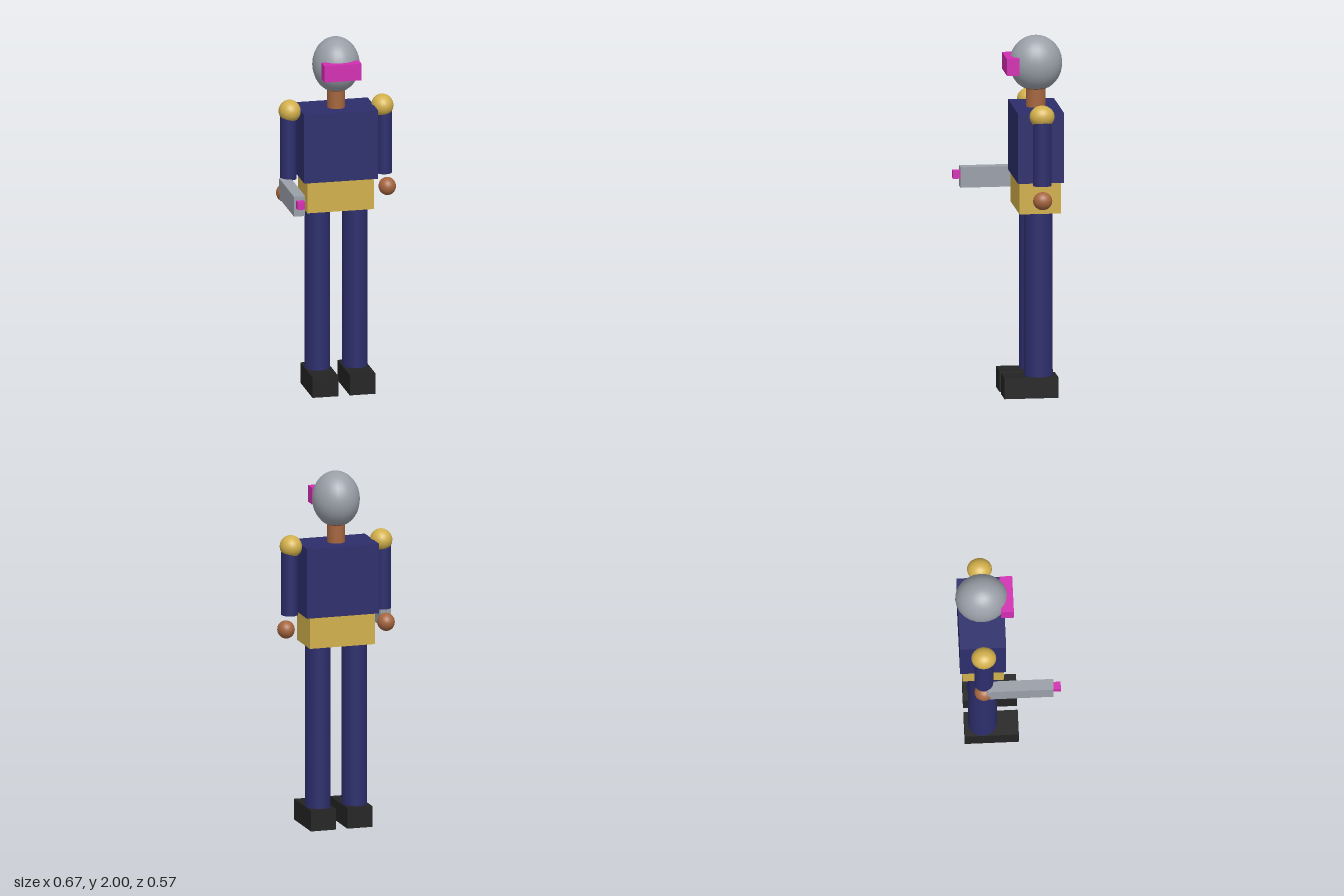
import * as THREE from 'three';

export function createModel() {
  const root = new THREE.Group();
  const mat = (name, color) => {
    const m = new THREE.MeshStandardMaterial({ color });
    m.name = name;
    return m;
  };
  const navy = mat('navy cloth', 0x2d2e6c);
  const gold = mat('gold', 0xd2b04c);
  const skin = mat('skin', 0xa5663f);
  const grey = mat('grey metal', 0x9a9fa8);
  const black = mat('black boots', 0x232323);
  const pink = mat('magenta glow', 0xd22eb2);
  const Z = -0.137; // depth of the body's axis

  const add = (name, geo, material, x, y, z) => {
    const mesh = new THREE.Mesh(geo, material);
    mesh.name = name;
    mesh.position.set(x, y, z);
    root.add(mesh);
    return mesh;
  };
  // box given by its centre x, width and its y and z ranges
  const box = (name, material, x, w, y0, y1, z0, z1) =>
    add(name, new THREE.BoxGeometry(w, y1 - y0, z1 - z0), material, x, (y0 + y1) / 2, (z0 + z1) / 2);
  // ellipsoid, optionally open at the bottom
  const ball = (name, material, x, y, rx, ry, rz, theta = Math.PI) =>
    add(name, new THREE.SphereGeometry(1, 24, 18, 0, Math.PI * 2, 0, theta).scale(rx, ry, rz), material, x, y, Z);
  // upright limb with an oval section
  const limb = (name, material, x, rx, rz, y0, y1) =>
    add(name, new THREE.CylinderGeometry(1, 1, y1 - y0, 24).scale(rx, 1, rz), material, x, (y0 + y1) / 2, Z);

  // head, helmet and visor
  ball('head', skin, 0, 1.833, 0.115, 0.144, 0.13);
  ball('helmet', grey, 0, 1.845, 0.13, 0.155, 0.146, Math.PI * 0.83);
  limb('neck', skin, 0, 0.049, 0.055, 1.58, 1.74);
  box('visor', pink, 0, 0.21, 1.796, 1.89, -0.034, 0.036);

  // trunk
  box('torso', navy, 0, 0.416, 1.21, 1.603, -0.265, -0.011);
  box('hips', gold, 0, 0.376, 1.035, 1.21, -0.251, -0.022);

  // limbs, mirrored
  for (const [side, s] of [['left', 1], ['right', -1]]) {
    ball(side + 'ShoulderPad', gold, s * 0.261, 1.594, 0.061, 0.062, 0.069);
    limb(side + 'Arm', navy, s * 0.269, 0.046, 0.052, 1.21, 1.6);
    ball(side + 'Hand', skin, s * 0.289, 1.127, 0.048, 0.05, 0.053);
    limb(side + 'Leg', navy, s * 0.106, 0.07, 0.079, 0.11, 1.04);
    box(side + 'Boot', black, s * 0.105, 0.145, 0, 0.117, -0.238, 0.06);
  }

  // blaster in the right hand
  box('blasterBody', grey, -0.293, 0.063, 1.103, 1.217, -0.12, 0.245);
  box('blasterMuzzle', pink, -0.292, 0.042, 1.152, 1.195, 0.245, 0.285);
  return root;
}
